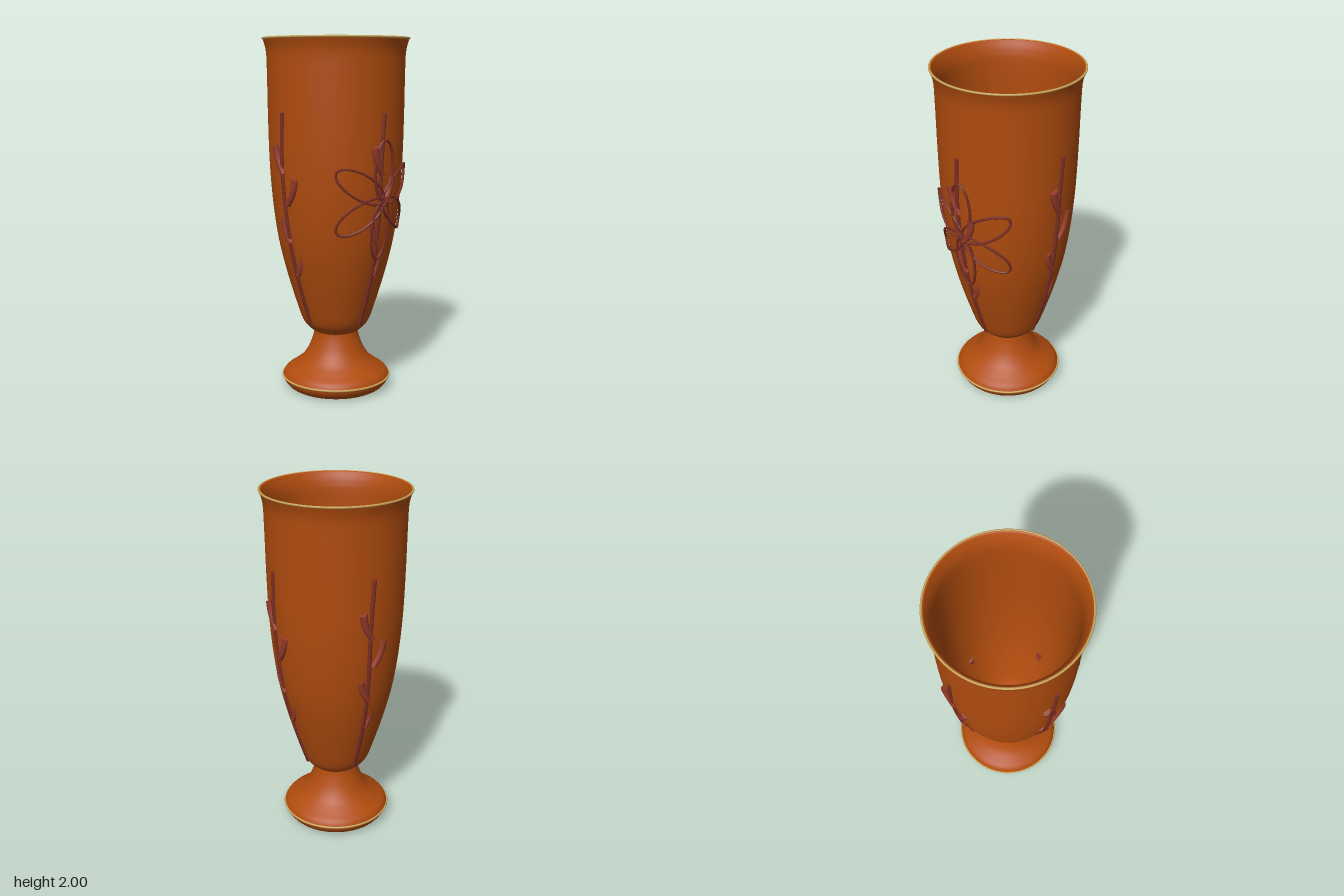
import * as THREE from 'three';

const clay = new THREE.MeshStandardMaterial({ color: 0xb04c0e });
clay.name = 'burnt orange';
const leafMat = new THREE.MeshStandardMaterial({ color: 0x943a2a });
leafMat.name = 'leaf red';
const vineMat = new THREE.MeshStandardMaterial({ color: 0x7c2f24 });
vineMat.name = 'vine red';
const gold = new THREE.MeshStandardMaterial({ color: 0xc9a55c });
gold.name = 'gold';

// Smooth profile through [radius, height] points
const smooth = (pts, n) => new THREE.SplineCurve(pts.map(p => new THREE.Vector2(...p))).getPoints(n);

const outer = smooth([
  [0.125, 0.335], [0.15, 0.352], [0.19, 0.4], [0.232, 0.52], [0.285, 0.7], [0.327, 0.88],
  [0.355, 1.08], [0.372, 1.3], [0.379, 1.55], [0.382, 1.8], [0.386, 1.92], [0.403, 1.99]], 80);
const inner = smooth([
  [0.39, 1.99], [0.368, 1.94], [0.357, 1.86], [0.353, 1.6], [0.346, 1.3], [0.328, 1.08],
  [0.3, 0.88], [0.257, 0.7], [0.2, 0.53], [0.14, 0.43], [0.1, 0.4]], 80);

// Outer wall radius at a given height
function wall(y) {
  for (let i = 1; i < outer.length; i++) {
    const a = outer[i - 1], b = outer[i];
    if (y <= b.y) return a.x + (b.x - a.x) * (y - a.y) / (b.y - a.y);
  }
  return 0.4;
}

// Wraps sideways distance u around the wall; u = 0 is the front
function onWall(u, y, lift) {
  const r = wall(y) + lift, a = u / 0.375;
  return new THREE.Vector3(r * Math.sin(a), y, r * Math.cos(a));
}

function add(parent, name, geometry, material) {
  const mesh = new THREE.Mesh(geometry, material);
  mesh.name = name;
  parent.add(mesh);
  return mesh;
}

const lathe = pts => new THREE.LatheGeometry(pts.map(p => p.isVector2 ? p : new THREE.Vector2(...p)), 96);

// Slightly bent, flattened leaf from base (x0, y0) to tip (x1, y1)
function leaf(x0, y0, x1, y1) {
  const h = y1 - y0;
  const geo = new THREE.CylinderGeometry(0.021, 0.015, h, 12, 6);
  const p = geo.attributes.position;
  for (let i = 0; i < p.count; i++) {
    const t = p.getY(i) / h + 0.5;
    const bend = (x1 - x0) * (t + 0.25 * Math.sin(Math.PI * t));
    p.setXYZ(i, p.getX(i) + x0 + bend, y0 + t * h - p.getX(i) * (x1 - x0) / h, p.getZ(i) * 0.9);
  }
  geo.computeVertexNormals();
  geo.translate(0, 0, wall(y0) + 0.006);
  return geo;
}

export function createModel() {
  const vase = new THREE.Group();
  vase.name = 'vase';

  // Pedestal foot
  add(vase, 'footBase', lathe([[0, 0], [0.255, 0]]), clay);
  add(vase, 'footEdge', lathe(smooth([[0.255, 0], [0.28, 0.015], [0.3, 0.04], [0.31, 0.068]], 12)), clay);
  add(vase, 'foot', lathe(smooth([
    [0.31, 0.068], [0.292, 0.098], [0.25, 0.128], [0.2, 0.168], [0.162, 0.222],
    [0.138, 0.28], [0.127, 0.32], [0.125, 0.335]], 40)), clay);

  // Bowl, lip and inside
  add(vase, 'bowl', lathe(outer), clay);
  add(vase, 'lip', lathe([[0.403, 1.99], [0.4, 1.996], [0.395, 1.996], [0.39, 1.99]]), clay);
  add(vase, 'inside', lathe(inner), clay);
  add(vase, 'insideFloor', lathe([[0.1, 0.4], [0, 0.4]]), clay);

  // Gilded rings
  for (const [name, r, y] of [['rimRing', 0.403, 1.993], ['footRing', 0.31, 0.068]]) {
    const ring = add(vase, name, new THREE.TorusGeometry(r, 0.006, 8, 96), gold);
    ring.rotation.x = Math.PI / 2;
    ring.position.y = y;
  }

  // Four leafy vines around the bowl
  const stemX = [[0, 0.4], [-0.004, 0.6], [-0.01, 0.8], [-0.016, 1], [-0.022, 1.2], [-0.022, 1.35], [-0.01, 1.6]];
  const stemPath = new THREE.CatmullRomCurve3(stemX.map(([x, y]) => onWall(x, y, 0.002)));
  const stemGeo = new THREE.TubeGeometry(stemPath, 48, 0.012, 8);
  const leaves = [
    leaf(0.005, 0.7, 0.045, 0.84), leaf(-0.005, 0.89, -0.055, 1.02),
    leaf(0.005, 1.1, 0.065, 1.25), leaf(-0.01, 1.27, -0.07, 1.42)];
  for (let i = 0; i < 4; i++) {
    const vine = new THREE.Group();
    vine.name = 'vine';
    add(vine, 'stem', stemGeo, vineMat);
    const caps = [[0, 0.4, Math.PI / 2], [-0.01, 1.6, -Math.PI / 2]];
    for (const [x, y, tilt] of caps) {
      const cap = add(vine, 'stemEnd', new THREE.CircleGeometry(0.012, 8), vineMat);
      cap.position.copy(onWall(x, y, 0.002));
      cap.rotation.x = tilt;
    }
    for (const geo of leaves) add(vine, 'leaf', geo, leafMat);
    vine.rotation.y = i * Math.PI / 2;
    vase.add(vine);
  }

  // Six looped petals wrapped on the front
  const flower = new THREE.Group();
  flower.name = 'flower';
  for (let k = 0; k < 6; k++) {
    const a = Math.PI / 6 + k * Math.PI / 3, pts = [];
    for (let i = 0; i < 32; i++) {
      const t = i / 32 * Math.PI * 2;
      const along = 0.163 * (1 - Math.cos(t)), side = 0.066 * Math.sin(t);
      pts.push(onWall(along * Math.cos(a) - side * Math.sin(a),
        1.13 + along * Math.sin(a) + side * Math.cos(a), 0.009));
    }
    const loop = new THREE.CatmullRomCurve3(pts, true);
    add(flower, 'petal', new THREE.TubeGeometry(loop, 64, 0.0075, 6, true), vineMat);
  }
  vase.add(flower);

  return vase;
}
